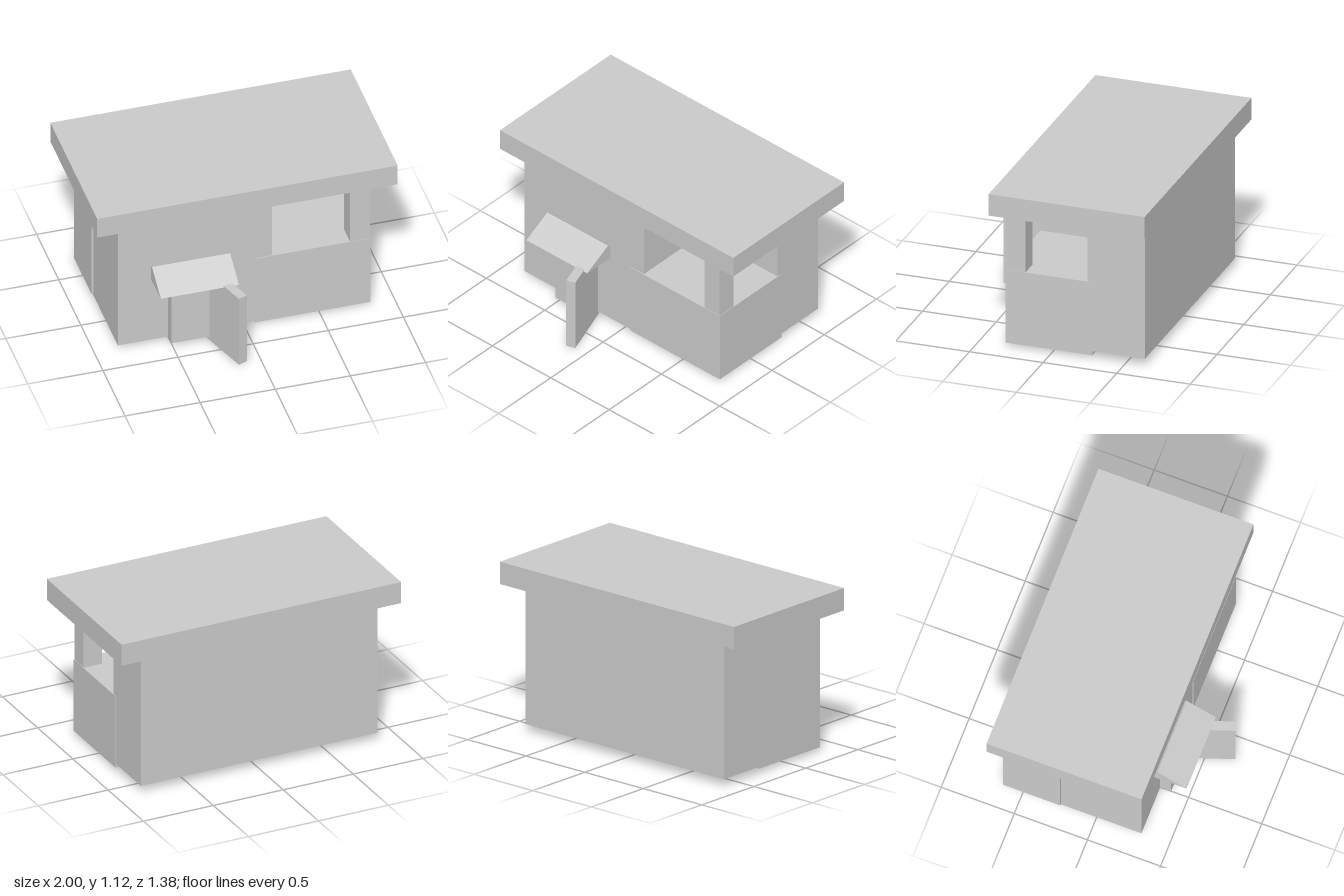
import * as THREE from 'three';

const material = new THREE.MeshStandardMaterial({ color: 0xcccccc, flatShading: true });

// Box given by its [min, max] range on each axis
function block(name, [x0, x1], [y0, y1], [z0, z1]) {
  const mesh = new THREE.Mesh(new THREE.BoxGeometry(x1 - x0, y1 - y0, z1 - z0), material);
  mesh.position.set((x0 + x1) / 2, (y0 + y1) / 2, (z0 + z1) / 2);
  mesh.name = name;
  return mesh;
}

export function createModel() {
  const group = new THREE.Group();
  group.name = 'kiosk';

  // Building body and overhanging flat roof
  group.add(
    block('roof', [-1, 1], [0.97, 1.12], [-0.69, 0.37]),
    block('backRoom', [-0.86, 0.832], [0.05, 0.964], [-0.63, -0.24]),
    block('frontRoom', [-0.845, 0.18], [0.03, 0.97], [-0.275, 0.31]),
    block('counter', [0.07, 0.835], [0.023, 0.533], [-0.275, 0.315]),
    block('cornerPost', [0.7, 0.832], [0.53, 0.97], [0.18, 0.312]),
    block('doorFrame', [-0.51, -0.23], [0.03, 0.525], [0.3, 0.385])
  );

  // Door leaf, swung open from its hinge
  const hinge = new THREE.Vector2(-0.25, 0.305);
  const edge = new THREE.Vector2(-0.12, 0.675);
  const door = block('door', [-0.0315, 0.0315], [0, 0.527], [0, hinge.distanceTo(edge)]);
  door.position.x = (hinge.x + edge.x) / 2;
  door.position.z = (hinge.y + edge.y) / 2;
  door.rotation.y = Math.atan2(edge.x - hinge.x, edge.y - hinge.y);
  group.add(door);

  // Wedge awning over the door; profile drawn as (-z, y) and extruded along x
  const profile = new THREE.Shape([
    new THREE.Vector2(-0.535, 0.52),
    new THREE.Vector2(-0.17, 0.512),
    new THREE.Vector2(-0.335, 0.63)
  ]);
  const awning = new THREE.Mesh(
    new THREE.ExtrudeGeometry(profile, { depth: 0.52, bevelEnabled: false }),
    material
  );
  awning.rotation.y = Math.PI / 2;
  awning.position.x = -0.625;
  awning.name = 'awning';
  group.add(awning);

  return group;
}
